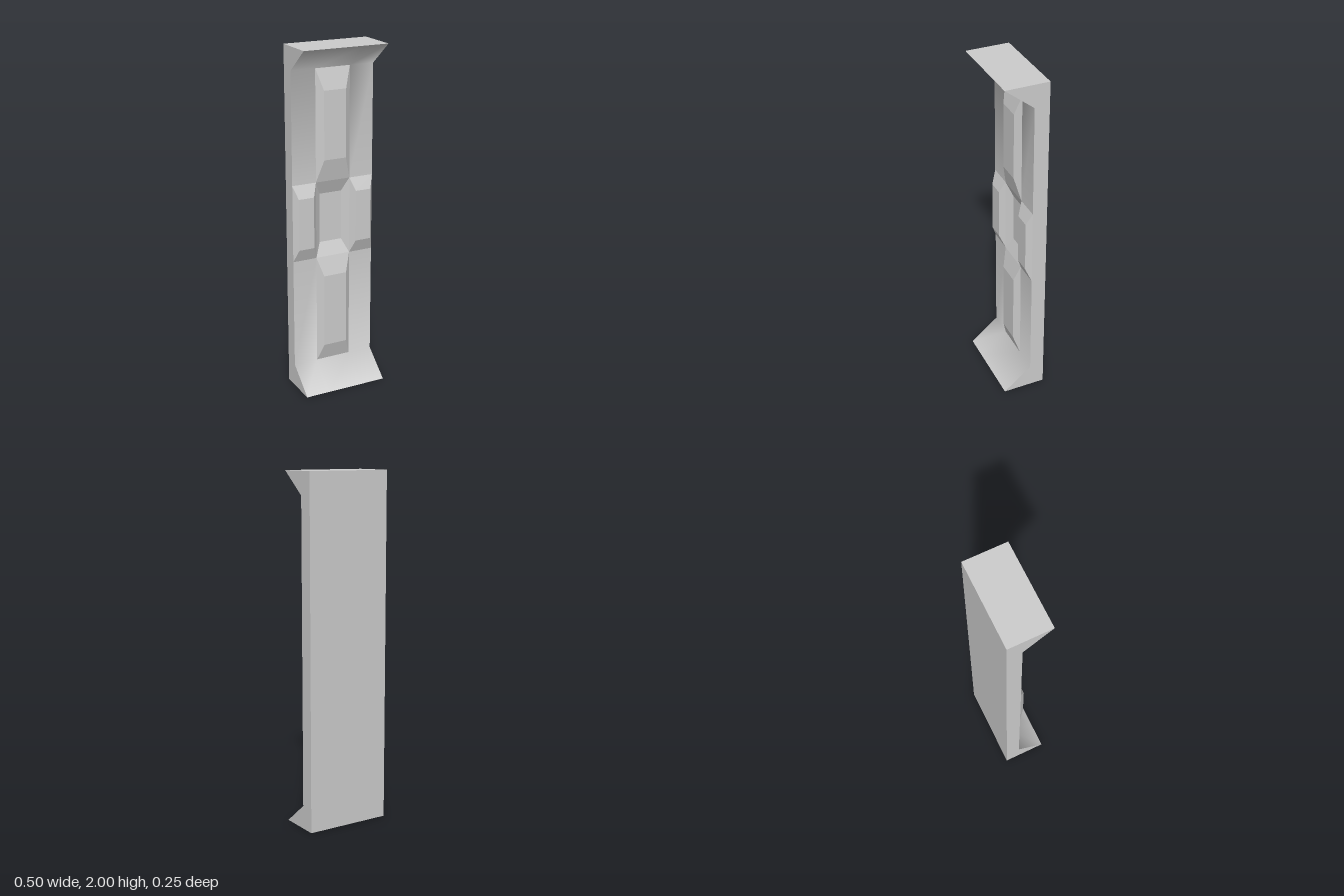
import * as THREE from 'three';

const XS = [-0.25, -0.105, 0.105, 0.25];          // column edges of the front
const YS = [0, 0.135, 0.78, 1.23, 1.87, 2];       // row edges of the front
const FACE = -0.04, BACK = -0.125, LIP = 0.125, RAISED = -0.01, SUNK = -0.072;
const frontZ = (row) => (row === 0 || row === 5 ? LIP : FACE);

// Separate four-cornered faces, corners counter-clockwise, with hard edges
function quads(list) {
  const pos = [];
  for (const [a, b, c, d] of list) pos.push(...a, ...b, ...c, ...a, ...c, ...d);
  const g = new THREE.BufferGeometry();
  g.setAttribute('position', new THREE.Float32BufferAttribute(pos, 3));
  g.computeVertexNormals();
  return g;
}

const rect = (x0, x1, y0, y1, z) => [[x0, y0, z], [x1, y0, z], [x1, y1, z], [x0, y1, z]];

// Bevelled panel filling one front cell, raised or sunk to z
function panel(col, row, [x0, x1, y0, y1], z) {
  const base = rect(XS[col], XS[col + 1], YS[row], YS[row + 1], FACE);
  const cap = rect(x0, x1, y0, y1, z);
  const faces = [cap];
  for (let i = 0; i < 4; i++) {
    const j = (i + 1) % 4;
    faces.push([base[i], base[j], cap[j], cap[i]]);
  }
  return quads(faces);
}

// Smooth front surface: flat field flowing into the slanted end lips
function frontSurface() {
  const pos = [], index = [];
  YS.forEach((y, r) => XS.forEach((x) => pos.push(x, y, frontZ(r))));
  for (let r = 0; r < 5; r++) {
    for (let c = 0; c < 3; c++) {
      const isPanel = r === 2 || (c === 1 && r > 0 && r < 4);
      if (isPanel) continue;
      const a = r * 4 + c;
      index.push(a, a + 1, a + 5, a, a + 5, a + 4);
    }
  }
  const g = new THREE.BufferGeometry();
  g.setAttribute('position', new THREE.Float32BufferAttribute(pos, 3));
  g.setIndex(index);
  g.computeVertexNormals();
  return g;
}

// Back, ends and both profiled sides
function shell() {
  const w = 0.25;
  const faces = [
    [[w, 0, BACK], [-w, 0, BACK], [-w, 2, BACK], [w, 2, BACK]],
    [[-w, 2, LIP], [w, 2, LIP], [w, 2, BACK], [-w, 2, BACK]],
    [[-w, 0, BACK], [w, 0, BACK], [w, 0, LIP], [-w, 0, LIP]],
  ];
  for (let r = 0; r < 5; r++) {
    const side = (x) => [
      [x, YS[r], frontZ(r)], [x, YS[r], BACK],
      [x, YS[r + 1], BACK], [x, YS[r + 1], frontZ(r + 1)],
    ];
    faces.push(side(w), side(-w).reverse());
  }
  return quads(faces);
}

export function createModel() {
  const group = new THREE.Group();
  group.name = 'wallPanel';
  const material = new THREE.MeshStandardMaterial({ color: 0xcccccc });
  const add = (name, geometry) => {
    const mesh = new THREE.Mesh(geometry, material);
    mesh.name = name;
    group.add(mesh);
  };

  add('slab', shell());
  add('frontFace', frontSurface());
  add('lowerPanel', panel(1, 1, [-0.07, 0.07, 0.235, 0.67], RAISED));
  add('centreRecess', panel(1, 2, [-0.068, 0.068, 0.86, 1.15], SUNK));
  add('upperPanel', panel(1, 3, [-0.067, 0.067, 1.36, 1.75], RAISED));
  add('rightSidePanel', panel(0, 2, [-0.225, -0.132, 0.855, 1.155], RAISED));
  add('leftSidePanel', panel(2, 2, [0.132, 0.225, 0.855, 1.155], RAISED));
  return group;
}
